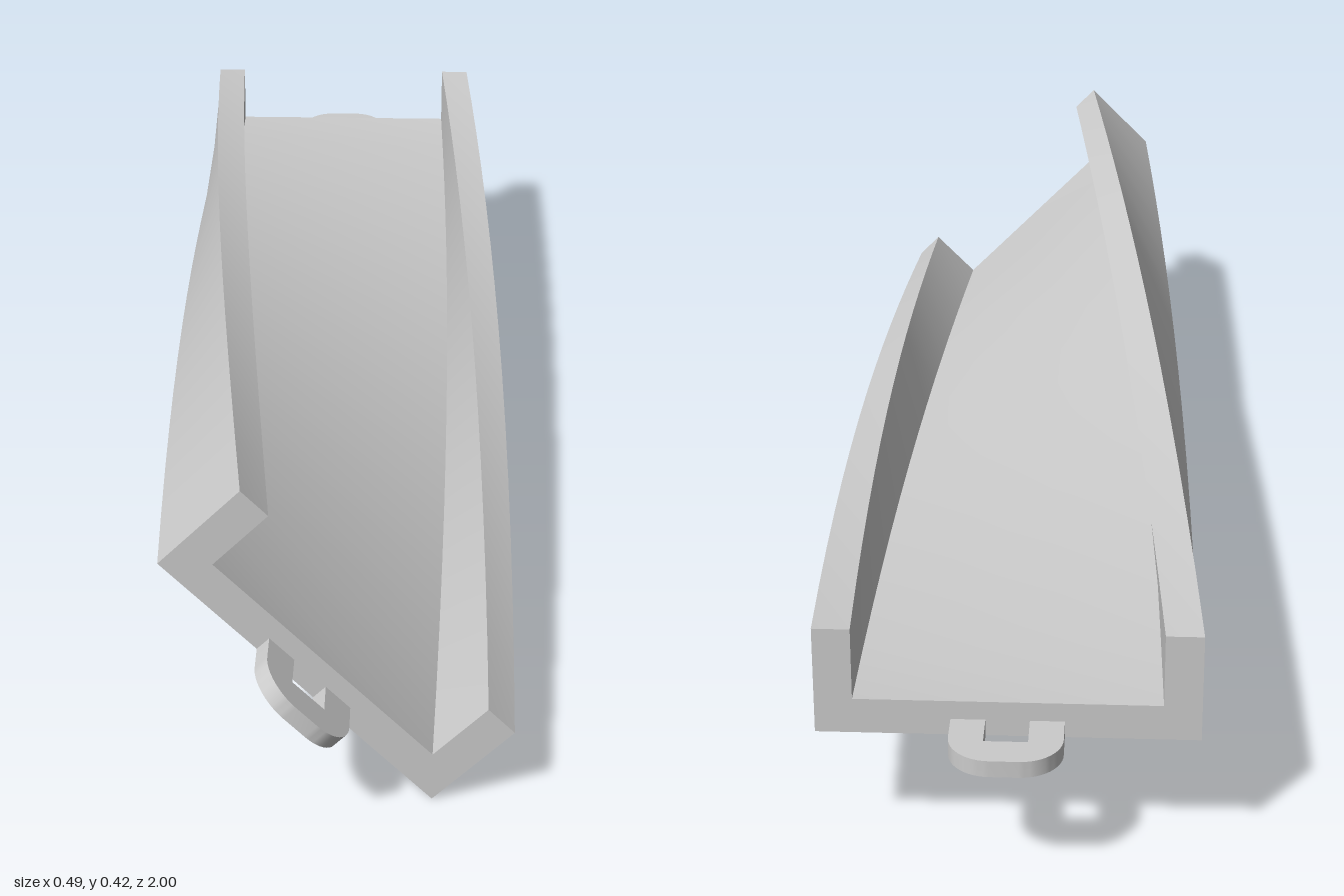
import * as THREE from 'three';
import { toCreasedNormals } from 'three/addons/utils/BufferGeometryUtils.js';

const HALF_LENGTH = 0.91, TWIST = -Math.PI / 4, HALF_WIDTH = 0.227;
const WALL = 0.045, HEIGHT = 0.137;
const material = new THREE.MeshStandardMaterial({ color: 0xcccccc });

// U-shaped channel, swept along z and turned steadily about its underside centre
function twistedChannel() {
  const w = HALF_WIDTH, i = w - WALL;
  const profile = new THREE.Shape([
    [-w, 0], [w, 0], [w, HEIGHT], [i, HEIGHT], [i, WALL], [-i, WALL], [-i, HEIGHT], [-w, HEIGHT],
  ].map(([x, y]) => new THREE.Vector2(x, y)));
  const geometry = new THREE.ExtrudeGeometry(profile, {
    depth: 2 * HALF_LENGTH, steps: 14, bevelEnabled: false,
  });
  geometry.translate(0, 0, -HALF_LENGTH);
  const position = geometry.attributes.position;
  const axis = new THREE.Vector3(0, 0, 1), v = new THREE.Vector3();
  for (let n = 0; n < position.count; n++) {
    v.fromBufferAttribute(position, n);
    v.applyAxisAngle(axis, TWIST * (v.z + HALF_LENGTH) / (2 * HALF_LENGTH));
    position.setXYZ(n, v.x, v.y, v.z);
  }
  return toCreasedNormals(geometry, 0.5);
}

// Flat link with rounded outer corners and a rectangular eye
function linkGeometry() {
  const w = 0.067, length = 0.09, r = 0.05, eye = 0.026, eyeEnd = 0.047;
  const shape = new THREE.Shape();
  shape.moveTo(-w, 0);
  shape.lineTo(-eye, 0);
  shape.lineTo(-eye, eyeEnd);
  shape.lineTo(eye, eyeEnd);
  shape.lineTo(eye, 0);
  shape.lineTo(w, 0);
  shape.lineTo(w, length - r);
  shape.absarc(w - r, length - r, r, 0, Math.PI / 2, false);
  shape.absarc(r - w, length - r, r, Math.PI / 2, Math.PI, false);
  shape.closePath();
  const geometry = new THREE.ExtrudeGeometry(shape, { depth: 0.021, bevelEnabled: false, curveSegments: 6 });
  return toCreasedNormals(geometry, 0.5);
}

export function createModel() {
  const model = new THREE.Group();
  model.name = 'twistedTrack';
  model.position.set(-0.02, 0.162, 0);

  const channel = new THREE.Mesh(twistedChannel(), material);
  channel.name = 'channel';

  // Link at the level end
  const backLink = new THREE.Mesh(linkGeometry().rotateX(-Math.PI / 2), material);
  backLink.name = 'backLink';
  backLink.position.z = -HALF_LENGTH;

  // Link at the tilted end
  const frontLink = new THREE.Mesh(linkGeometry().rotateX(Math.PI / 2).translate(0, 0.021, 0), material);
  frontLink.name = 'frontLink';
  frontLink.position.z = HALF_LENGTH;
  frontLink.rotation.z = TWIST;

  model.add(channel, backLink, frontLink);
  const root = new THREE.Group();
  root.add(model);
  return root;
}
